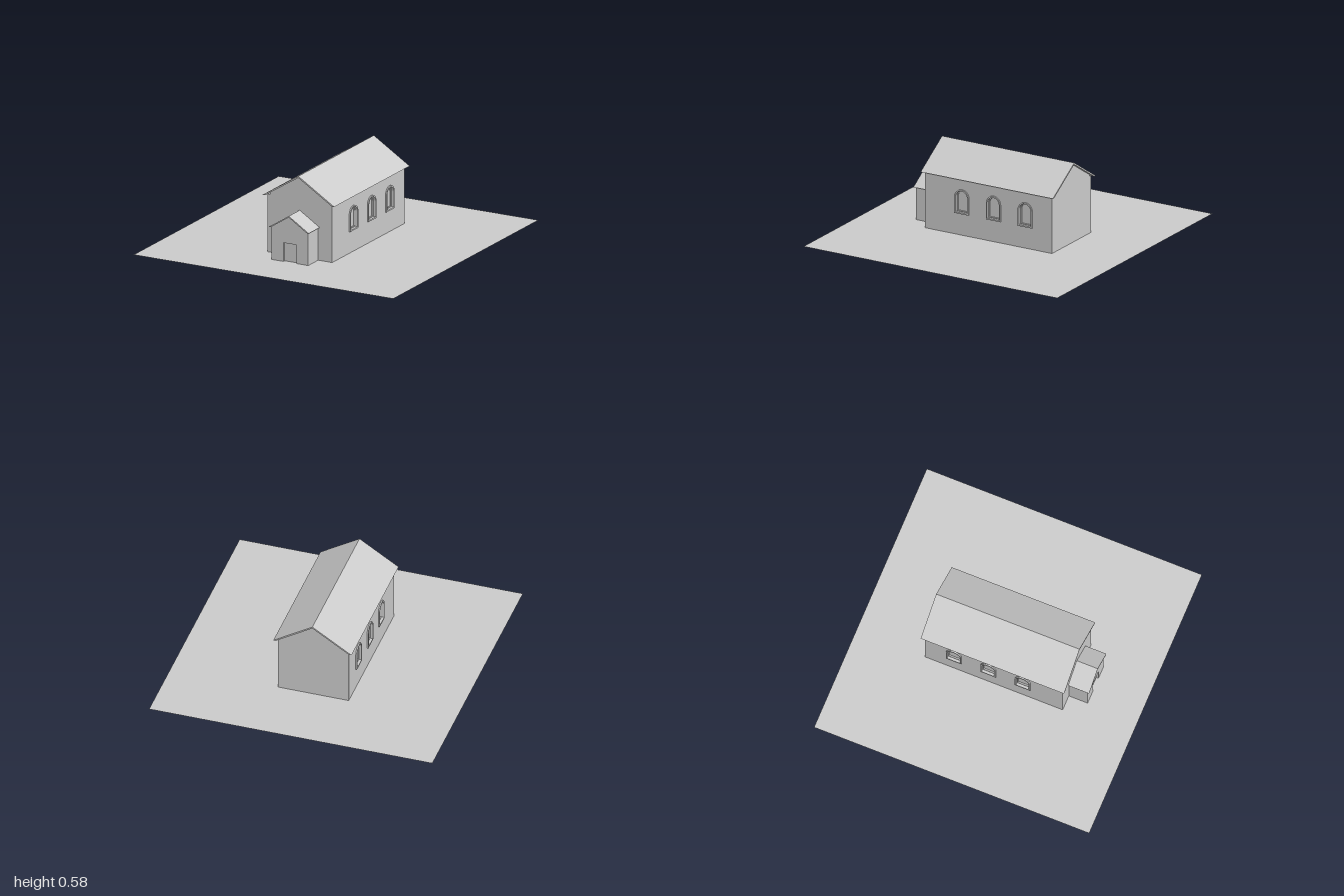
import * as THREE from 'three';

const material = new THREE.MeshStandardMaterial({ color: 0xcccccc, flatShading: true });

function polygon(points) {
  return new THREE.Shape(points.map(([x, y]) => new THREE.Vector2(x, y)));
}

// Closed arch outline: flat sill, straight jambs, round head
function archPath(Type, u, halfWidth, sill, spring) {
  const path = new Type();
  path.moveTo(u - halfWidth, sill);
  path.lineTo(u + halfWidth, sill);
  path.lineTo(u + halfWidth, spring);
  path.absarc(u, spring, halfWidth, 0, Math.PI, false);
  path.closePath();
  return path;
}

function extrude(shape, from, to) {
  const geometry = new THREE.ExtrudeGeometry(shape, { depth: to - from, bevelEnabled: false, curveSegments: 16 });
  return geometry.translate(0, 0, from);
}

function addMesh(group, name, geometry) {
  const mesh = new THREE.Mesh(geometry, material);
  mesh.name = name;
  group.add(mesh);
  return mesh;
}

// Gabled body outline: wall half width, eave height and ridge height
function gable(halfWidth, eave, ridge) {
  return polygon([[-halfWidth, 0], [halfWidth, 0], [halfWidth, eave], [0, ridge], [-halfWidth, eave]]);
}

// Thin pitched roof with level-cut eaves
function roof(halfWidth, eave, ridge, thickness) {
  const inner = halfWidth * (1 - thickness / (ridge - eave));
  return polygon([
    [-halfWidth, eave], [-inner, eave], [0, ridge - thickness],
    [inner, eave], [halfWidth, eave], [0, ridge],
  ]);
}

export function createModel() {
  const model = new THREE.Group();
  model.name = 'chapel';

  // Ground sheet
  const ground = addMesh(model, 'groundPlane', new THREE.PlaneGeometry(2, 2).rotateX(-Math.PI / 2));
  ground.material = material.clone();
  ground.material.side = THREE.DoubleSide;

  // Hall
  addMesh(model, 'hallBody', extrude(gable(0.23, 0.419, 0.565), -0.5, 0.5));
  addMesh(model, 'hallRoof', extrude(roof(0.276, 0.402, 0.576, 0.012), -0.522, 0.52));

  // Side walls with arched windows, mirrored left and right
  const windowCentres = [0.21, -0.04, -0.29];
  const spring = 0.269;
  for (const side of [1, -1]) {
    const sideGroup = new THREE.Group();
    sideGroup.name = side > 0 ? 'leftSide' : 'rightSide';
    sideGroup.rotation.y = side * Math.PI / 2;
    model.add(sideGroup);

    const wall = polygon([[-0.5, 0], [0.5, 0], [0.5, 0.406], [-0.5, 0.406]]);
    for (const z of windowCentres) {
      const u = -side * z;
      wall.holes.push(archPath(THREE.Path, u, 0.046, 0.162, spring));

      const frame = archPath(THREE.Shape, u, 0.056, 0.152, spring);
      frame.holes.push(archPath(THREE.Path, u, 0.046, 0.162, spring));
      addMesh(sideGroup, 'windowSurround', extrude(frame, 0.25, 0.259));

      const sash = archPath(THREE.Shape, u, 0.046, 0.162, spring);
      sash.holes.push(archPath(THREE.Path, u, 0.04, 0.168, spring));
      addMesh(sideGroup, 'windowSash', extrude(sash, 0.23, 0.24));
    }
    addMesh(sideGroup, 'sideWall', extrude(wall, 0.23, 0.25));
  }

  // Porch with a recessed doorway
  addMesh(model, 'porchBody', extrude(gable(0.142, 0.232, 0.322), 0.49, 0.618));
  const porchFront = polygon([
    [-0.142, 0], [-0.05, 0], [-0.05, 0.132], [0.05, 0.132], [0.05, 0],
    [0.142, 0], [0.142, 0.232], [0, 0.322], [-0.142, 0.232],
  ]);
  addMesh(model, 'porchFront', extrude(porchFront, 0.618, 0.637));
  addMesh(model, 'door', new THREE.BoxGeometry(0.1, 0.132, 0.004).translate(0, 0.066, 0.619));
  addMesh(model, 'porchRoof', extrude(roof(0.154, 0.232, 0.331, 0.01), 0.49, 0.652));

  return model;
}
